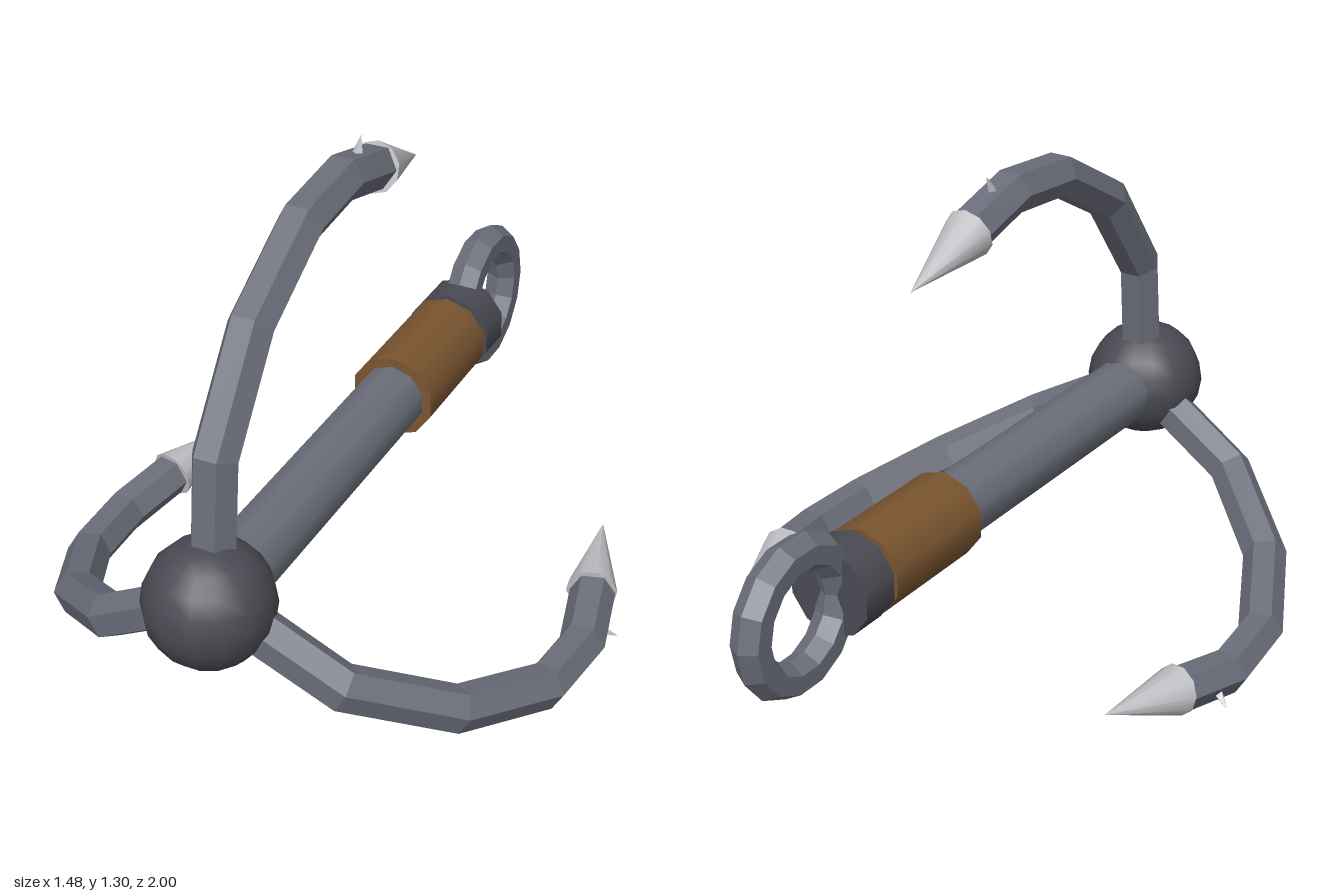
import * as THREE from 'three';

const mat = (name, color, opts = {}) => {
  const m = new THREE.MeshStandardMaterial({ color });
  m.name = name;
  return m;
};

// Facets every face of a geometry
function faceted(geo) {
  const g = geo.index ? geo.toNonIndexed() : geo;
  g.computeVertexNormals();
  return g;
}

// Hexagonal bar swept along [z, y] points in the plane x = 0
function hexBar(path, r) {
  const pts = path.map(([z, y]) => new THREE.Vector3(0, y, z));
  const pos = [], index = [];
  pts.forEach((p, i) => {
    const before = pts[Math.max(i - 1, 0)], after = pts[Math.min(i + 1, pts.length - 1)];
    const t = after.clone().sub(before).normalize();
    for (let k = 0; k < 6; k++) {
      const a = k * Math.PI / 3, s = r * Math.sin(a);
      pos.push(r * Math.cos(a), p.y + s * t.z, p.z - s * t.y);
    }
  });
  for (let i = 0; i < pts.length - 1; i++) {
    for (let k = 0; k < 6; k++) {
      const n = (k + 1) % 6, a = i * 6 + k, b = i * 6 + n;
      index.push(a, b, b + 6, a, b + 6, a + 6);
    }
  }
  const g = new THREE.BufferGeometry();
  g.setAttribute('position', new THREE.Float32BufferAttribute(pos, 3));
  g.setIndex(index);
  return faceted(g);
}

// Cone from a base centre to an apex, both [z, y]
function spike(base, apex, r, sides) {
  const a = new THREE.Vector3(0, base[1], base[0]);
  const b = new THREE.Vector3(0, apex[1], apex[0]);
  const dir = b.clone().sub(a);
  const g = new THREE.ConeGeometry(r, dir.length(), sides);
  g.applyQuaternion(new THREE.Quaternion().setFromUnitVectors(
    new THREE.Vector3(0, 1, 0), dir.clone().normalize()));
  const c = a.add(b).multiplyScalar(0.5);
  return g.translate(c.x, c.y, c.z);
}

export function createModel() {
  const iron = mat('iron', 0x6b6e7a);
  const darkIron = mat('dark iron', 0x4a4a53);
  const leather = mat('leather', 0x7a5530);
  const steel = mat('bright steel', 0xbfc0c4);

  const model = new THREE.Group();
  model.name = 'grapplingHook';
  const body = new THREE.Group();
  body.name = 'body';
  body.position.y = 0.455;
  model.add(body);

  const add = (parent, name, geo, material) => {
    const m = new THREE.Mesh(geo, material);
    m.name = name;
    parent.add(m);
    return m;
  };
  // Ten-sided rod along z
  const rod = (name, r, z0, z1, material) => {
    const g = new THREE.CylinderGeometry(r, r, z0 - z1, 10);
    g.rotateX(Math.PI / 2).translate(0, 0, (z0 + z1) / 2);
    add(body, name, g, material);
  };

  // Shaft, grip and collar
  rod('shaft', 0.092, 0.84, -0.6, iron);
  rod('grip', 0.118, -0.17, -0.53, leather);
  rod('collar', 0.12, -0.545, -0.655, darkIron);

  // Hub ball
  add(body, 'hub', new THREE.SphereGeometry(0.164, 14, 10), darkIron).position.z = 0.84;

  // Rope ring
  const ring = add(body, 'ropeRing', faceted(new THREE.TorusGeometry(0.165, 0.049, 6, 14)), iron);
  ring.rotation.y = Math.PI / 2;
  ring.position.z = -0.785;

  // Three curved claws, each with a point and a small barb
  const path = [[0.82, 0.04], [0.785, 0.37], [0.6, 0.62], [0.345, 0.765], [0.128, 0.785], [-0.07, 0.732]];
  const clawGeo = hexBar(path, 0.06);
  const pointGeo = spike([-0.055, 0.733], [-0.305, 0.66], 0.068, 10);
  const barbGeo = faceted(spike([0.055, 0.79], [0.02, 0.855], 0.022, 4));
  ['topClaw', 'leftClaw', 'rightClaw'].forEach((name, i) => {
    const claw = new THREE.Group();
    claw.name = name;
    claw.rotation.z = -i * Math.PI * 2 / 3;
    add(claw, 'clawArm', clawGeo, iron);
    add(claw, 'clawPoint', pointGeo, steel);
    add(claw, 'barb', barbGeo, steel);
    body.add(claw);
  });

  return model;
}
